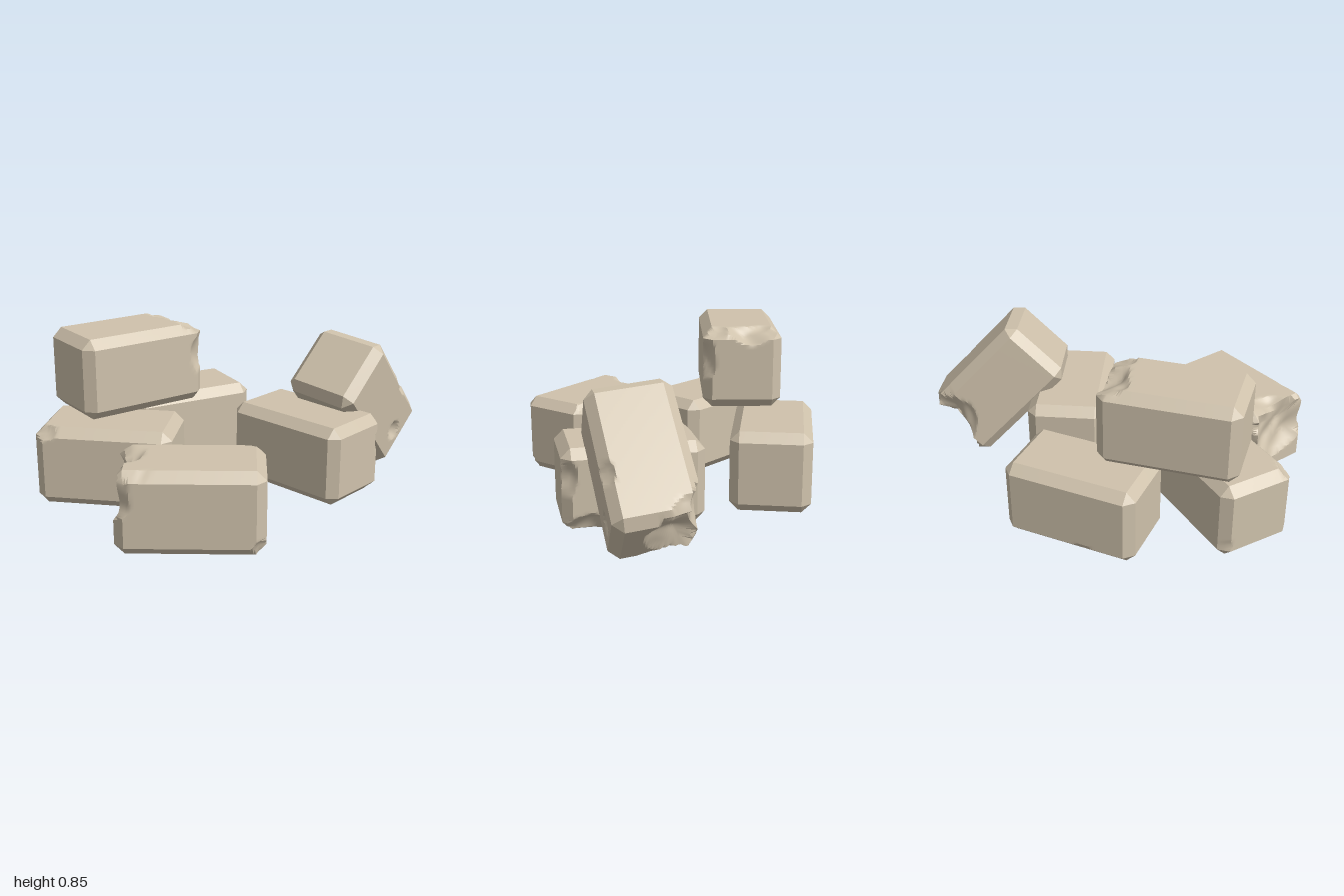
import * as THREE from 'three';
import { toCreasedNormals } from 'three/addons/utils/BufferGeometryUtils.js';

const HALF = [0.347, 0.206, 0.204];
const SEGMENTS = [44, 26, 26];
const CHAMFER = 0.047;

// Chamfered block; each bite [x, y, z, radius] scoops out a slightly wavy hollow.
function blockGeometry(bites) {
  const geo = new THREE.BoxGeometry(2, 2, 2, ...SEGMENTS);
  const pos = geo.attributes.position;
  const p = new THREE.Vector3(), core = new THREE.Vector3();
  const dir = new THREE.Vector3(), off = new THREE.Vector3();
  for (let i = 0; i < pos.count; i++) {
    const unit = [pos.getX(i), pos.getY(i), pos.getZ(i)];
    const onEnd = unit.map((u) => Math.abs(u) > 0.9999);
    const count = onEnd.filter(Boolean).length;
    // The outer ring of the grid forms the flat bevels and corner facets.
    const inset = [0, 0, CHAMFER / 2, CHAMFER * 2 / 3][count];
    p.fromArray(unit.map((u, k) => onEnd[k]
      ? Math.sign(u) * (HALF[k] - inset)
      : u / (1 - 2 / SEGMENTS[k]) * (HALF[k] - CHAMFER)));

    for (const [x, y, z, r] of bites) {
      const wave = 1 + 0.035 * Math.sin(31 * p.x + 23 * p.y + 9 * r) * Math.cos(27 * p.z - 14 * p.y);
      const radius = r * wave;
      off.set(p.x - x, p.y - y, p.z - z);
      const inside = off.lengthSq() - radius * radius;
      if (inside >= 0) continue;
      core.set(THREE.MathUtils.clamp(p.x, -0.16, 0.16), 0, 0);
      dir.subVectors(core, p);
      const reach = dir.length();
      dir.normalize();
      const b = off.dot(dir);
      p.addScaledVector(dir, Math.min(-b + Math.sqrt(b * b - inside), reach * 0.7));
    }
    pos.setXYZ(i, p.x, p.y, p.z);
  }
  geo.deleteAttribute('uv');
  geo.deleteAttribute('normal');
  return toCreasedNormals(geo, THREE.MathUtils.degToRad(26));
}

// Position, turn about y in degrees, and worn spots of the flat-lying blocks
const BLOCKS = [
  { name: 'backLeftBlock', at: [-0.4, 0.215, -0.27], turn: 56.5,
    bites: [[-0.08, -0.22, -0.24, 0.085], [-0.13, 0.23, -0.23, 0.06]] },
  { name: 'upperBlock', at: [-0.445, 0.645, 0.175], turn: 64,
    bites: [[0.42, 0.46, -0.06, 0.33], [0.36, 0.36, 0.16, 0.2], [0.42, 0.05, 0.32, 0.2],
      [0.3, -0.24, 0.24, 0.07]] },
  { name: 'frontRightCornerBlock', at: [-0.395, 0.217, 0.42], turn: 20,
    bites: [[-0.33, 0.27, 0.27, 0.155], [-0.41, -0.12, -0.24, 0.11], [0.38, 0.1, 0.27, 0.09]] },
  { name: 'frontBlock', at: [0.222, 0.212, 0.67], turn: 27.5,
    bites: [[-0.55, 0.08, 0.02, 0.27], [-0.36, 0.44, -0.05, 0.275], [-0.45, 0.08, 0.4, 0.27],
      [-0.2, 0.32, 0.28, 0.17], [-0.42, 0.0, -0.36, 0.22], [0.03, 0.25, 0.25, 0.09],
      [0.36, -0.19, 0.23, 0.09], [0.31, 0.24, -0.23, 0.085], [0.4, 0, -0.26, 0.1]] },
  { name: 'rightBlock', at: [0.4, 0.212, -0.222], turn: -14.5,
    bites: [[0.41, 0.06, -0.33, 0.19], [0.24, -0.28, -0.33, 0.21], [0.02, -0.3, -0.3, 0.17],
      [0.4, -0.2, -0.27, 0.13], [-0.4, 0.02, 0.25, 0.08]] },
];

export function createModel() {
  const group = new THREE.Group();
  group.name = 'blockPile';
  const material = new THREE.MeshStandardMaterial({ color: 0xcfc2ac });

  const addBlock = (name, at, bites) => {
    const mesh = new THREE.Mesh(blockGeometry(bites), material);
    mesh.name = name;
    mesh.position.set(...at);
    group.add(mesh);
    return mesh;
  };

  for (const { name, at, turn, bites } of BLOCKS) {
    addBlock(name, at, bites).rotation.y = THREE.MathUtils.degToRad(turn);
  }

  // Block leaning on the right one, with its worn end on the ground
  const leaning = addBlock('leaningBlock', [0.515, 0.385, -0.61], [
    [0.52, 0.02, -0.12, 0.25], [0.34, 0.08, -0.38, 0.25], [0.43, -0.34, -0.02, 0.22],
    [0.4, 0.34, -0.16, 0.2], [0.08, 0.24, 0.24, 0.1], [0.22, -0.02, 0.25, 0.07],
  ]);
  const along = new THREE.Vector3(0.085, -0.72, -0.69).normalize();
  const up = new THREE.Vector3().crossVectors(new THREE.Vector3(0.97, -0.1, 0.21), along).normalize();
  const across = new THREE.Vector3().crossVectors(along, up);
  leaning.quaternion.setFromRotationMatrix(new THREE.Matrix4().makeBasis(along, up, across));

  return group;
}
